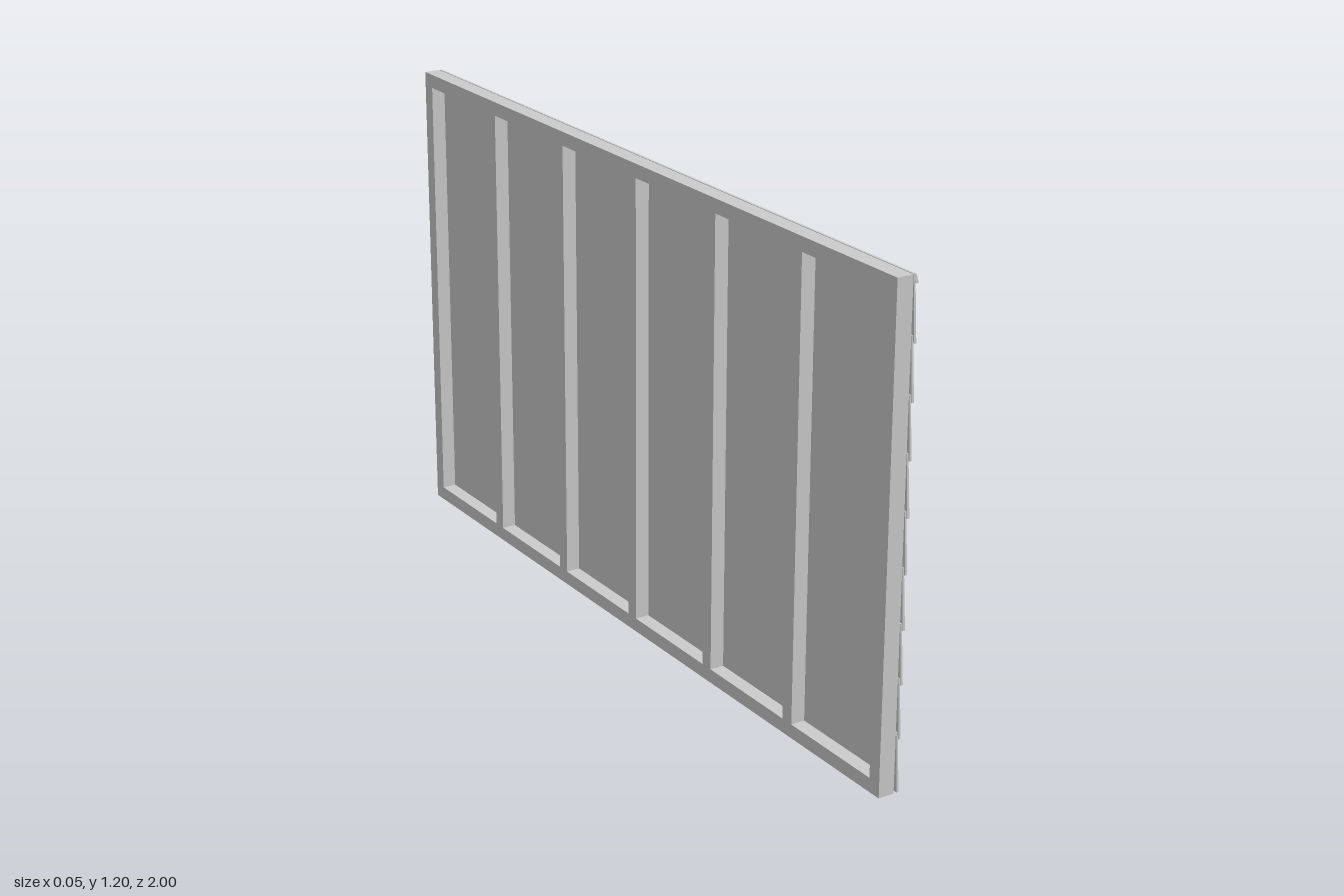
import * as THREE from 'three';

export function createModel() {
  const wall = new THREE.Group();
  wall.name = 'wallPanel';
  const material = new THREE.MeshStandardMaterial({ color: 0xcccccc, flatShading: true });
  const H = 1.2, L = 2, T = 0.035;
  const xBack = -0.03, xFrame = 0.006, xSheath = 0.011;

  // Box given by its extents across the wall, with centre height and depth
  function addBox(name, x0, x1, y, z, h, d) {
    const mesh = new THREE.Mesh(new THREE.BoxGeometry(x1 - x0, h, d), material);
    mesh.position.set((x0 + x1) / 2, y, z);
    mesh.name = name;
    wall.add(mesh);
  }

  // Studs: the two end studs run full height, the others stand between plates
  const bays = 6;
  for (let i = 0; i <= bays; i++) {
    const end = i === 0 || i === bays;
    const z = -L / 2 + T / 2 + (i * (L - T)) / bays;
    addBox(end ? 'endStud' : 'stud', xBack, xFrame, H / 2, z, end ? H : H - 2 * T, T);
  }

  // Plates
  addBox('bottomPlate', xBack, xFrame, T / 2, 0, T, L - 2 * T);
  addBox('topPlate', xBack, xFrame, H - T / 2, 0, T, L - 2 * T);

  // Sheathing behind the siding
  addBox('sheathing', xFrame, xSheath, H / 2, 0, H, L);

  // Bevelled siding boards, each lapping over the one below
  function addBoard(name, y, h, topInner, topOuter) {
    const profile = new THREE.Shape();
    profile.moveTo(0.019, y);
    profile.lineTo(0.025, y);
    profile.lineTo(topOuter, y + h);
    profile.lineTo(topInner, y + h);
    profile.closePath();
    const geometry = new THREE.ExtrudeGeometry(profile, { depth: L, bevelEnabled: false });
    geometry.translate(0, 0, -L / 2);
    const mesh = new THREE.Mesh(geometry, material);
    mesh.name = name;
    wall.add(mesh);
  }

  const rows = 9, step = 0.131;
  for (let i = 0; i < rows; i++) addBoard('sidingBoard', i * step, 0.15, 0.012, 0.016);

  // Narrow strip closing the top of the siding
  addBoard('topSidingStrip', rows * step, H - rows * step, 0.013, 0.019);

  return wall;
}
